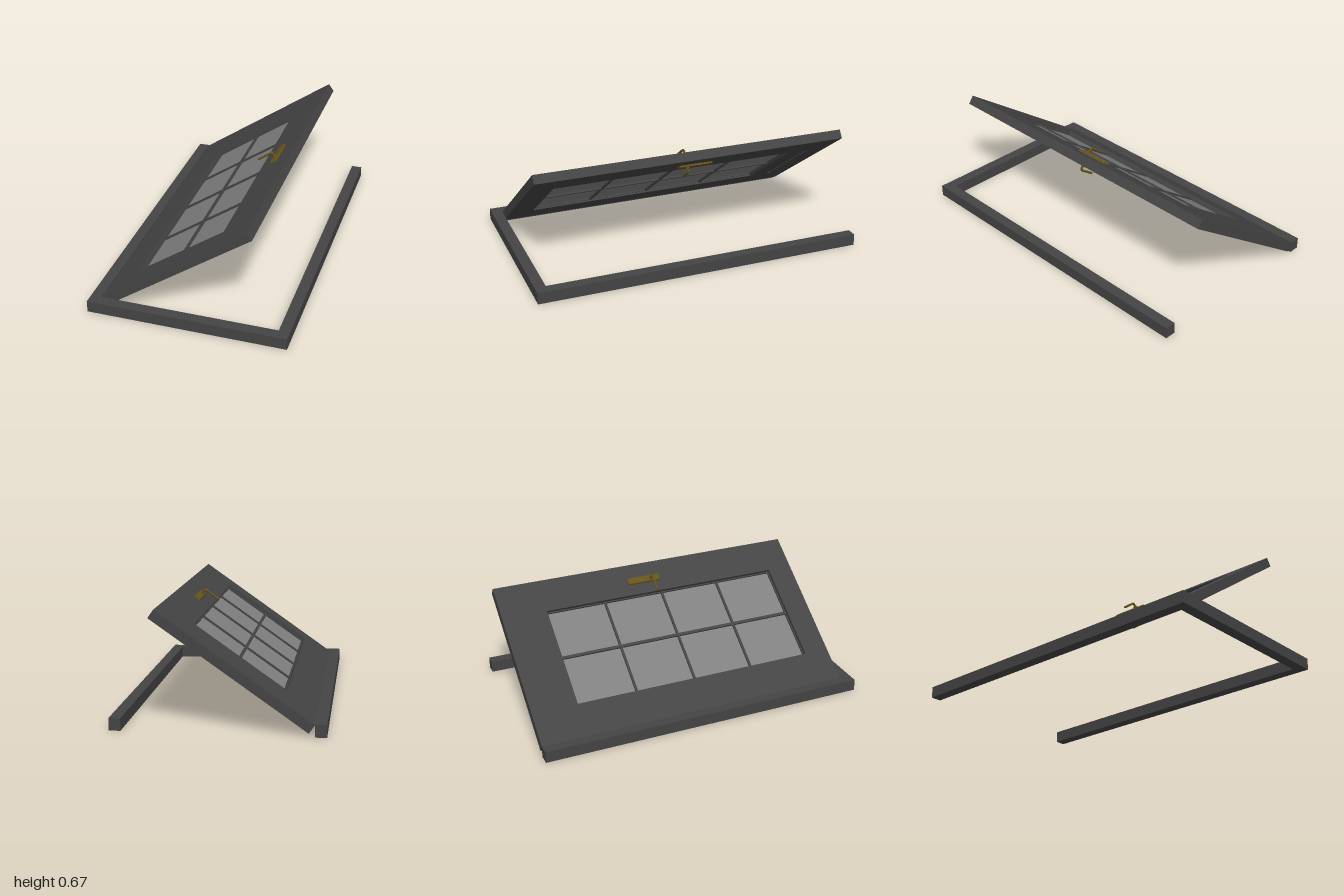
import * as THREE from 'three';

const paint = new THREE.MeshStandardMaterial({ color: 0x444444 });
const pane = new THREE.MeshStandardMaterial({ color: 0x808080 });
const brass = new THREE.MeshStandardMaterial({ color: 0x66531a });

function add(parent, name, geometry, material) {
  const mesh = new THREE.Mesh(geometry, material);
  mesh.name = name;
  parent.add(mesh);
  return mesh;
}

function box(parent, name, material, size, pos) {
  const mesh = add(parent, name, new THREE.BoxGeometry(...size), material);
  mesh.position.set(...pos);
  return mesh;
}

// rectangle in plan, given by x and z limits
function rect(Type, x0, x1, z0, z1) {
  return new Type([[x0, -z1], [x1, -z1], [x1, -z0], [x0, -z0]].map(p => new THREE.Vector2(...p)));
}

// extrudes a plan shape upwards from y0 to y1
function slab(shape, y0, y1) {
  return new THREE.ExtrudeGeometry(shape, { depth: y1 - y0, bevelEnabled: false })
    .rotateX(-Math.PI / 2).translate(0, y0, 0);
}

// one handle: backplate, collar and bent lever, built upwards from y = 0
function makeHandle() {
  const handle = new THREE.Group();
  handle.name = 'handle';
  const plate = rect(THREE.Shape, -0.017, 0.017, -0.17, 0.03);
  add(handle, 'backplate', new THREE.ExtrudeGeometry(plate, {
    depth: 0.006, bevelEnabled: true, bevelSize: 0.005, bevelThickness: 0.006, bevelSegments: 2,
  }).rotateX(-Math.PI / 2), brass);
  const collar = add(handle, 'collar', new THREE.CylinderGeometry(0.011, 0.013, 0.012, 20), brass);
  collar.position.set(0, 0.016, -0.02);

  const v = (x, y) => new THREE.Vector3(x, y, -0.02);
  const path = new THREE.CurvePath();
  path.add(new THREE.LineCurve3(v(0, 0), v(0, 0.026)));
  path.add(new THREE.QuadraticBezierCurve3(v(0, 0.026), v(0, 0.043), v(-0.018, 0.043)));
  path.add(new THREE.LineCurve3(v(-0.018, 0.043), v(-0.103, 0.042)));
  add(handle, 'lever', new THREE.TubeGeometry(path, 48, 0.007, 12), brass);
  const tip = add(handle, 'leverTip', new THREE.SphereGeometry(0.007, 12, 8), brass);
  tip.position.copy(v(-0.103, 0.042));
  return handle;
}

export function createModel() {
  const model = new THREE.Group();
  model.name = 'doorAndFrame';

  // U-shaped frame lying flat, open at the back
  const outline = new THREE.Shape([
    [-0.59, -1], [0.59, -1], [0.59, 1], [0.525, 1],
    [0.525, -0.935], [-0.525, -0.935], [-0.525, 1], [-0.59, 1],
  ].map(p => new THREE.Vector2(...p)));
  add(model, 'frame', slab(outline, 0, 0.07), paint);

  // door leaf swings on the inner left edge of the frame
  const door = new THREE.Group();
  door.name = 'door';
  door.position.set(-0.525, 0.066, 0);
  door.rotation.z = THREE.MathUtils.degToRad(35);
  model.add(door);

  // leaf in two layers: the lower one also has a narrow slot
  const T = 0.056, x0 = 0.208, x1 = 0.836, z0 = -0.725, z1 = 0.778;
  const leaf = () => {
    const s = rect(THREE.Shape, 0, 1.05, -1, 0.932);
    s.holes.push(rect(THREE.Path, x0, x1, z0, z1));
    return s;
  };
  add(door, 'leafUpper', slab(leaf(), -T + 0.018, 0), paint);
  const lower = leaf();
  lower.holes.push(rect(THREE.Path, x0, x1, -0.87, -0.847));
  add(door, 'leafLower', slab(lower, -T, -T + 0.018), paint);

  // glass and glazing bars
  const cx = (x0 + x1) / 2, cz = (z0 + z1) / 2, w = x1 - x0, h = z1 - z0, y = -0.033;
  box(door, 'glass', pane, [w, 0.006, h], [cx, y, cz]);
  box(door, 'longBar', paint, [0.018, 0.028, h], [cx, y, cz]);
  for (let i = 1; i < 4; i++)
    box(door, 'crossBar', paint, [w, 0.027, 0.014], [cx, y, z0 + (h * i) / 4]);

  // beads around the glass
  for (const s of [-1, 1]) {
    box(door, 'sideBead', paint, [0.008, 0.026, h], [cx + s * (w / 2 - 0.004), y, cz]);
    box(door, 'endBead', paint, [w, 0.025, 0.008], [cx, y, cz + s * (h / 2 - 0.004)]);
  }

  // handles on both faces; the lower one is turned over, keeping its lever direction
  const upper = makeHandle();
  upper.position.set(0.93, 0, 0);
  const under = makeHandle();
  under.position.set(0.93, -T, 0);
  under.scale.y = -1;
  door.add(upper, under);

  return model;
}
